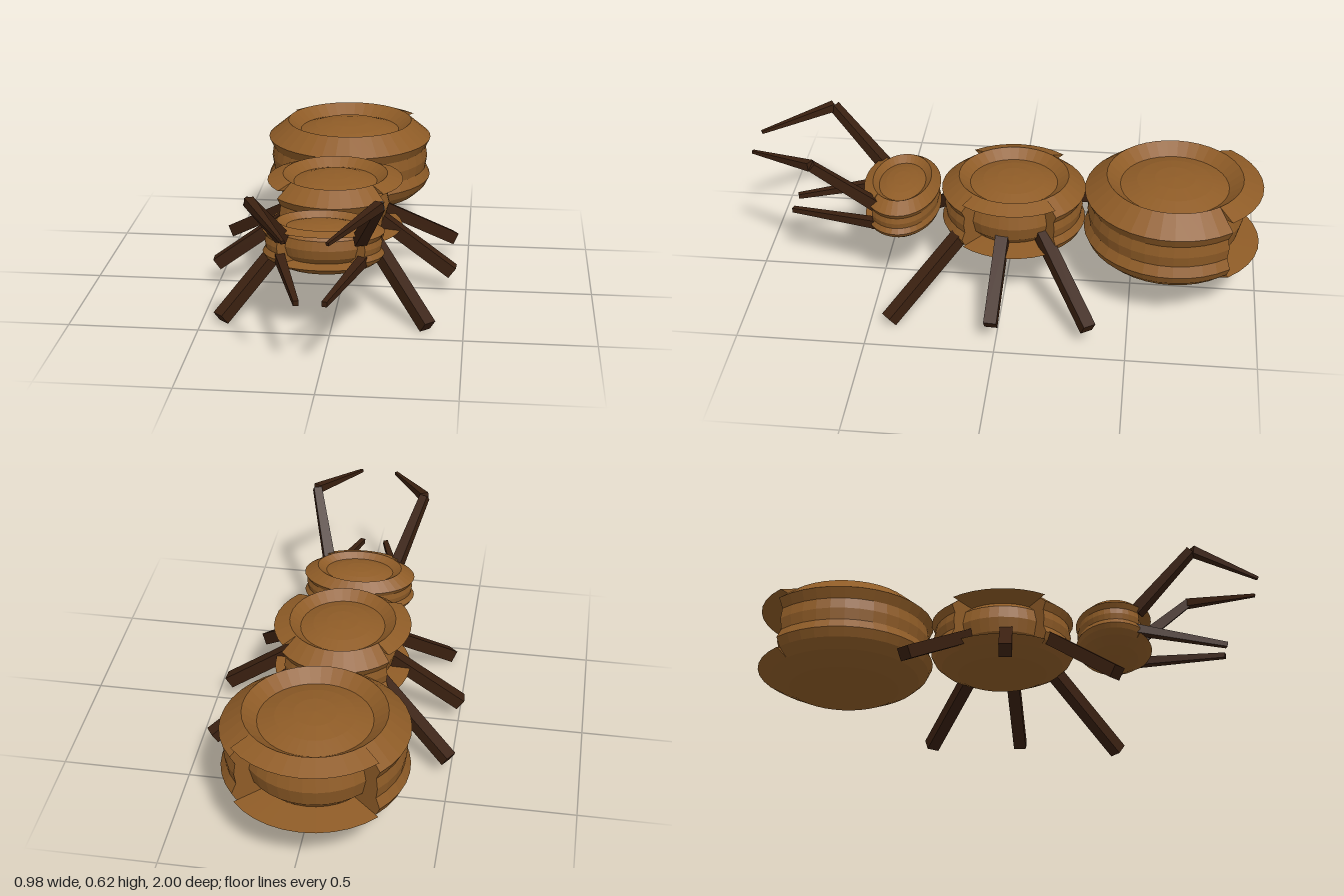
import * as THREE from 'three';

const shellMat = new THREE.MeshStandardMaterial({ color: 0x8f5c27, flatShading: true, side: THREE.DoubleSide });
const limbMat = new THREE.MeshStandardMaterial({ color: 0x3a2010, flatShading: true });
const MID_X = -0.03, MID_Y = 0.351;

// Profiles run from the bottom pole to the top pole, as [radius, height]
const bowl = [[0, -0.226], [0.12, -0.218], [0.22, -0.195], [0.30, -0.155]];
const dish = [[0.27, 0.155], [0.215, 0.112], [0.15, 0.133], [0.08, 0.145], [0, 0.149]];
const band = [[0.338, -0.12], [0.355, -0.085], [0.335, -0.045], [0.342, 0], [0.335, 0.045], [0.355, 0.085]];
const recess = [[0.35, -0.125], [0.22, -0.115], [0.262, -0.07], [0.28, 0], [0.262, 0.07], [0.22, 0.105], [0.35, 0.125]];
const toPoints = (list) => list.map(([r, y]) => new THREE.Vector2(r, y));
const bandProfile = toPoints([...bowl, ...band, ...dish]);
const recessProfile = toPoints([...bowl, ...recess, ...dish]);

// One body segment: a banded shell with a dished top and open notches at the given angles
function bodySegment(name, z, scale, notches, half) {
  const group = new THREE.Group();
  group.name = name;
  const add = (geometry, part) => {
    const mesh = new THREE.Mesh(geometry, shellMat);
    mesh.name = part;
    group.add(mesh);
    return mesh;
  };
  const sector = (profile, start, length, part) =>
    add(new THREE.LatheGeometry(profile, Math.max(6, Math.round(length * 6)), start, length), part);

  const period = (Math.PI * 2) / notches.length;
  for (const angle of notches) {
    sector(recessProfile, angle - half, half * 2, 'notch');
    sector(bandProfile, angle + half, period - half * 2, 'bandedShell');
    // Walls closing both ends of the notch
    for (const end of [angle - half, angle + half]) {
      for (const profile of [bandProfile, recessProfile]) {
        add(new THREE.ShapeGeometry(new THREE.Shape(profile)), 'notchWall').rotation.y = end - Math.PI / 2;
      }
    }
  }
  group.scale.set(...scale);
  group.position.set(MID_X, MID_Y, z);
  return group;
}

// Square bar from a to b, tapering between two thicknesses
function bar(name, a, b, thickA, thickB = thickA) {
  const from = new THREE.Vector3(...a), to = new THREE.Vector3(...b);
  const dir = to.clone().sub(from);
  const geometry = new THREE.CylinderGeometry(thickB * Math.SQRT1_2, thickA * Math.SQRT1_2, dir.length(), 4);
  geometry.rotateY(Math.PI / 4);
  geometry.rotateX(-Math.PI / 2);
  geometry.rotateY(Math.PI);
  const mesh = new THREE.Mesh(geometry, limbMat);
  mesh.name = name;
  mesh.position.copy(from).add(to).multiplyScalar(0.5);
  // the bar's thickB end faces +z after the turn
  mesh.lookAt(to);
  return mesh;
}

export function createModel() {
  const model = new THREE.Group();
  model.name = 'ant';

  // Body segments
  const deg = Math.PI / 180;
  model.add(
    bodySegment('abdomen', -0.655, [0.985, 1, 0.985], [Math.PI], 50 * deg),
    bodySegment('thorax', -0.025, [0.77, 0.77, 0.8], [Math.PI / 2, Math.PI * 1.5], 40 * deg),
    bodySegment('head', 0.42, [0.645, 0.51, 0.425], [0], 48 * deg),
  );

  // Legs: name, root, foot, with sideways distances from the body's midline
  const legs = [
    ['frontLeg', [0.13, 0.31, 0.14], [0.395, 0.02, 0.425]],
    ['middleLeg', [0.15, 0.32, 0], [0.475, 0.085, 0.018]],
    ['rearLeg', [0.14, 0.31, -0.14], [0.465, 0.09, -0.355]],
  ];
  for (const side of [1, -1]) {
    const place = ([x, y, z]) => [MID_X + side * x, y, z];
    for (const [name, root, foot] of legs) {
      model.add(bar(name, place(root), place(foot), 0.05));
    }
    // Bent antenna
    const elbow = place([0.23, 0.605, 0.73]);
    model.add(bar('antennaBase', place([0.143, 0.39, 0.51]), elbow, 0.045, 0.034));
    model.add(bar('antennaTip', elbow, place([0.075, 0.557, 0.995]), 0.034, 0.012));
    // Jaw
    model.add(bar('mandible', place([0.155, 0.308, 0.5]), place([0.05, 0.28, 0.86]), 0.036, 0.02));
  }
  return model;
}
